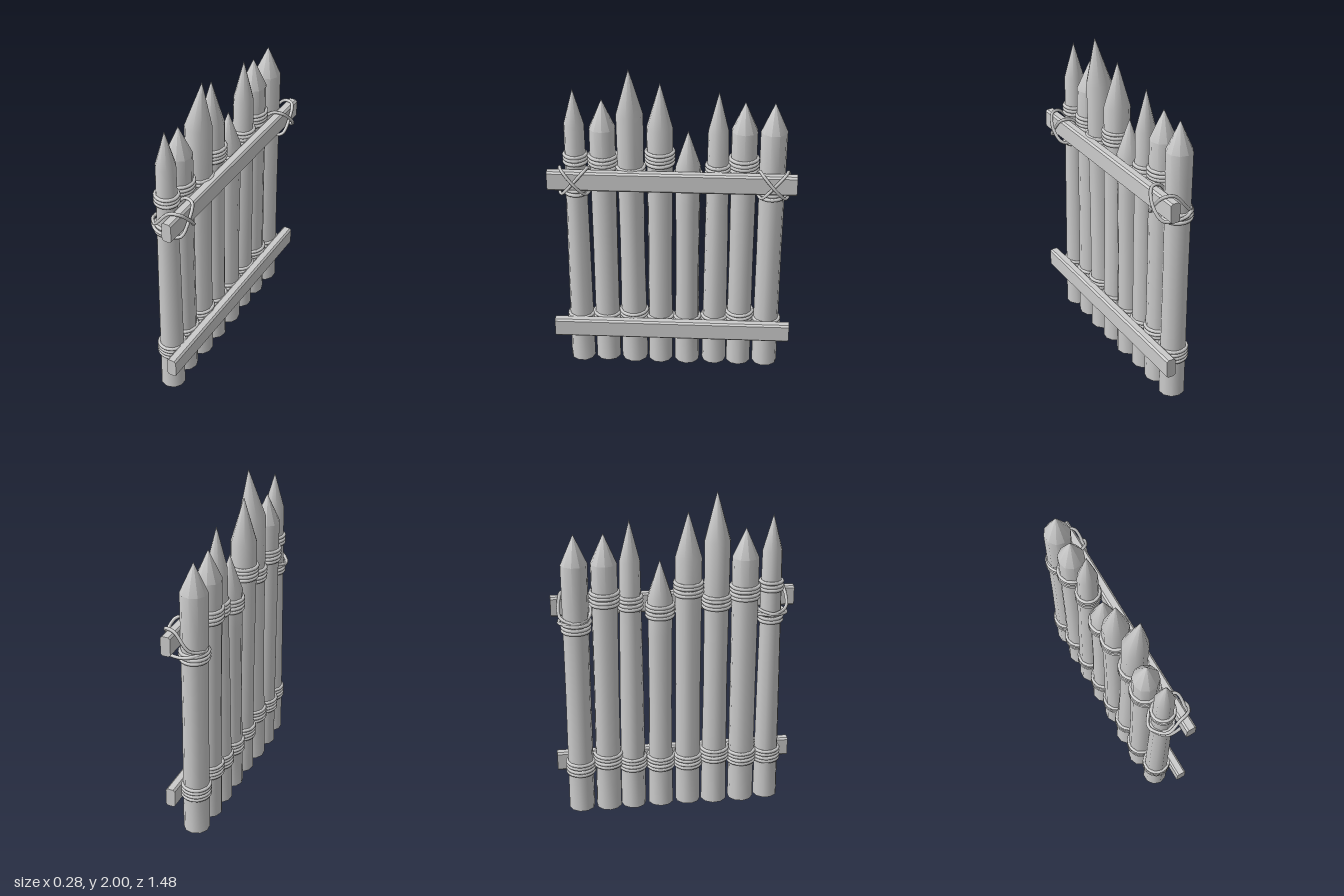
import * as THREE from 'three';
import { toCreasedNormals } from 'three/addons/utils/BufferGeometryUtils.js';

const material = new THREE.MeshStandardMaterial({ color: 0xcccccc });
const V = (x, y, z) => new THREE.Vector3(x, y, z);

// One entry per stake: foot, shoulder and tip centres as [x, z], three radii,
// shoulder and tip heights, centre heights of the rope bands and their turn counts
const STAKES = [
  { foot: [-0.035, 0.58], neck: [-0.035, 0.578], tip: [-0.035, 0.58], r: [0.077, 0.07, 0.06], neckY: 1.64, tipY: 1.86, bands: [[0.295, 4], [1.425, 3], [1.225, 3]] },
  { foot: [-0.05, 0.415], neck: [-0.055, 0.415], tip: [-0.055, 0.415], r: [0.08, 0.078, 0.08], neckY: 1.61, tipY: 1.79, bands: [[0.3, 4], [1.4, 4]] },
  { foot: [-0.045, 0.243], neck: [-0.028, 0.25], tip: [0, 0.25], r: [0.083, 0.075, 0.08], neckY: 1.71, tipY: 2.0, bands: [[0.325, 4], [1.34, 4]] },
  { foot: [-0.04, 0.077], neck: [-0.05, 0.075], tip: [-0.05, 0.073], r: [0.078, 0.075, 0.08], neckY: 1.62, tipY: 1.9, bands: [[0.29, 4], [1.435, 4]] },
  { foot: [-0.04, -0.095], neck: [-0.035, -0.093], tip: [-0.035, -0.093], r: [0.08, 0.072, 0.077], neckY: 1.38, tipY: 1.61, bands: [[0.29, 4], [1.3, 4]] },
  { foot: [-0.045, -0.268], neck: [-0.035, -0.27], tip: [-0.035, -0.27], r: [0.077, 0.072, 0.061], neckY: 1.61, tipY: 1.86, bands: [[0.3, 4], [1.36, 4]] },
  { foot: [-0.045, -0.425], neck: [-0.055, -0.423], tip: [-0.055, -0.423], r: [0.08, 0.077, 0.08], neckY: 1.61, tipY: 1.79, bands: [[0.335, 4], [1.4, 4]] },
  { foot: [-0.04, -0.595], neck: [-0.05, -0.595], tip: [-0.05, -0.595], r: [0.08, 0.077, 0.08], neckY: 1.61, tipY: 1.79, bands: [[0.29, 4], [1.225, 3]] },
];

function addMesh(parent, name, geometry) {
  const mesh = new THREE.Mesh(geometry, material);
  mesh.name = name;
  parent.add(mesh);
  return mesh;
}

// Centre line of a stake at height y
function centreAt(s, y) {
  const [a, b, t] = y < s.neckY
    ? [s.foot, s.neck, y / s.neckY]
    : [s.neck, s.tip, (y - s.neckY) / (s.tipY - s.neckY)];
  return [a[0] + (b[0] - a[0]) * t, a[1] + (b[1] - a[1]) * t];
}

function radiusAt(s, y) {
  const t = Math.min(y / s.neckY, 1) * 2;
  return t < 1
    ? THREE.MathUtils.lerp(s.r[0], s.r[1], t)
    : THREE.MathUtils.lerp(s.r[1], s.r[2], t - 1);
}

// Sharpened pole: lathed profile sheared along its centre line
function stakeGeometry(s, turn) {
  const profile = [new THREE.Vector2(0, 0)];
  for (let i = 0; i <= 6; i++) {
    const y = (s.neckY * i) / 6;
    profile.push(new THREE.Vector2(radiusAt(s, y), y));
  }
  profile.push(new THREE.Vector2(0, s.tipY));
  const geometry = new THREE.LatheGeometry(profile, 10);
  geometry.rotateY(turn);
  const p = geometry.attributes.position;
  for (let i = 0; i < p.count; i++) {
    const [cx, cz] = centreAt(s, p.getY(i));
    p.setX(i, p.getX(i) + cx);
    p.setZ(i, p.getZ(i) + cz);
  }
  return toCreasedNormals(geometry, 0.72);
}

// Stack of rope turns around a stake
function addBand(parent, s, midY, turns) {
  const band = new THREE.Group();
  band.name = 'ropeBand';
  for (let i = 0; i < turns; i++) {
    const y = midY + (i - (turns - 1) / 2) * 0.023;
    const [cx, cz] = centreAt(s, y);
    const ring = addMesh(band, 'ropeTurn', new THREE.TorusGeometry(radiusAt(s, y) + 0.003, 0.011, 6, 24));
    ring.rotation.x = Math.PI / 2;
    ring.rotation.y = (i % 2 ? 1 : -1) * 0.015;
    ring.position.set(cx, y, cz);
  }
  parent.add(band);
}

// Two mirrored loops that cross over the face of the upper rail
function addLashing(parent, z) {
  const lashing = new THREE.Group();
  lashing.name = 'crossLashing';
  for (const m of [1, -1]) {
    const out = m > 0 ? 0.122 : 0.108;
    const path = new THREE.CatmullRomCurve3([
      V(0.03, 1.39, z + m * 0.084),
      V(0.09, 1.392, z + m * 0.066),
      V(out, 1.32, z),
      V(0.095, 1.245, z - m * 0.066),
      V(0.03, 1.238, z - m * 0.09),
      V(-0.06, 1.25, z - m * 0.088),
      V(-0.122, 1.265, z),
      V(-0.06, 1.29, z + m * 0.088),
    ], true);
    addMesh(lashing, 'lashingRope', new THREE.TubeGeometry(path, 56, 0.01, 6, true));
  }
  parent.add(lashing);
}

// Chamfered plank running along z
function railGeometry() {
  const w = 0.03, h = 0.061, c = 0.011;
  const section = new THREE.Shape([
    [-w + c, -h], [w - c, -h], [w, -h + c], [w, h - c],
    [w - c, h], [-w + c, h], [-w, h - c], [-w, -h + c],
  ].map(([x, y]) => new THREE.Vector2(x, y)));
  return new THREE.ExtrudeGeometry(section, { depth: 1.475, bevelEnabled: false }).translate(0, 0, -0.7375);
}

export function createModel() {
  const model = new THREE.Group();
  model.name = 'palisadeFence';

  STAKES.forEach((s, i) => {
    addMesh(model, 'stake', stakeGeometry(s, i * 0.37));
    for (const [y, turns] of s.bands) addBand(model, s, y, turns);
  });

  // Upper and lower cross rails
  for (const [name, y] of [['lowerRail', 0.281], ['upperRail', 1.319]]) {
    addMesh(model, name, railGeometry()).position.set(0.06, y, 0);
  }

  // Lashings on the two end stakes
  for (const z of [0.58, -0.6]) addLashing(model, z);

  return model;
}
